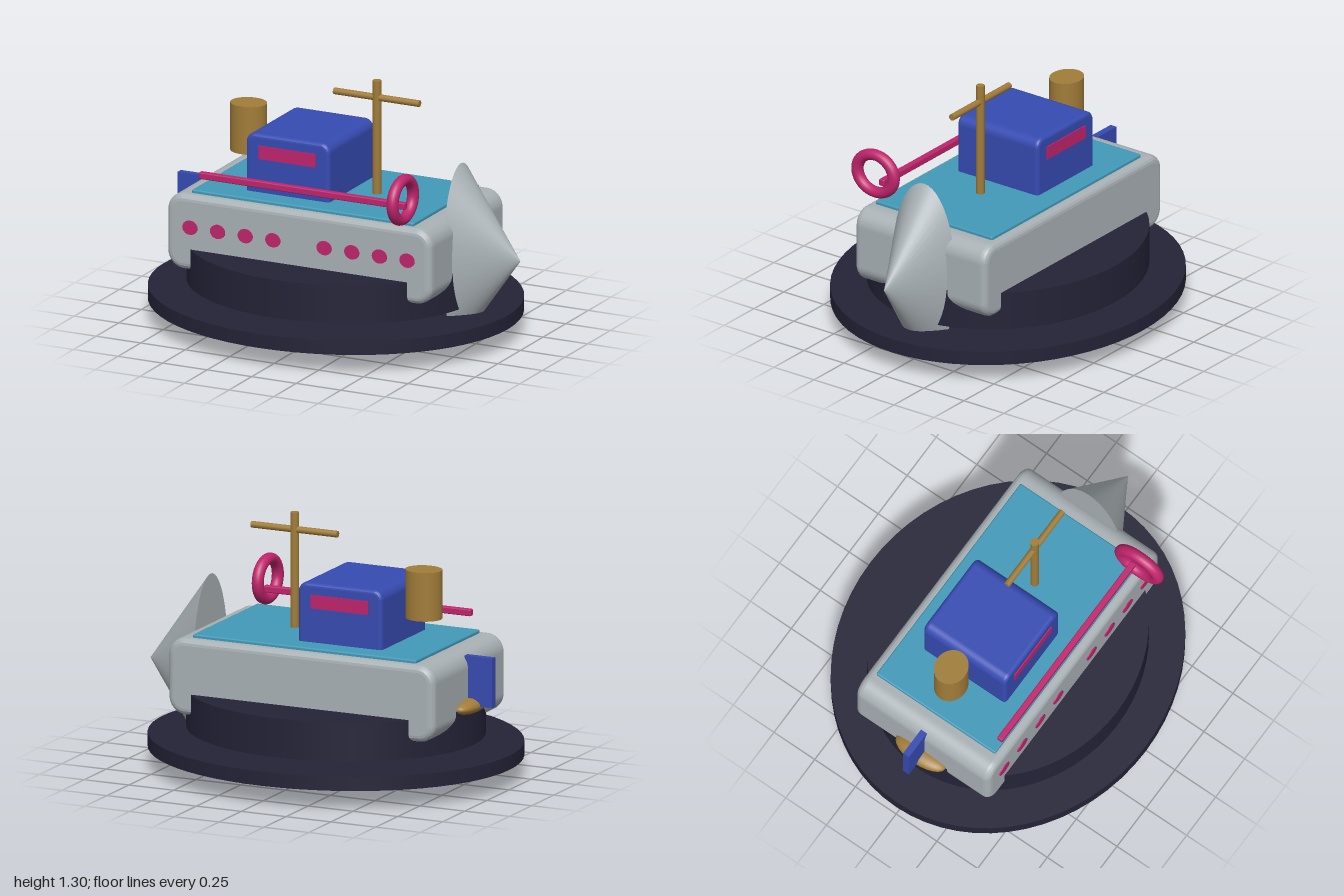
import * as THREE from 'three';
import { RoundedBoxGeometry } from 'three/addons/geometries/RoundedBoxGeometry.js';

function material(name, color) {
  const m = new THREE.MeshStandardMaterial({ color });
  m.name = name;
  return m;
}

// Rounded rectangle in x/y, extruded along z with a soft bevel; w, h, d are outer sizes
function softBlock(w, h, d, radius, bevel) {
  const x = w / 2 - bevel, y = h / 2 - bevel, r = radius - bevel;
  const s = new THREE.Shape();
  s.moveTo(-x + r, -y);
  s.lineTo(x - r, -y);
  s.absarc(x - r, -y + r, r, -Math.PI / 2, 0);
  s.absarc(x - r, y - r, r, 0, Math.PI / 2);
  s.absarc(-x + r, y - r, r, Math.PI / 2, Math.PI);
  s.absarc(-x + r, -y + r, r, Math.PI, Math.PI * 1.5);
  const depth = d - 2 * bevel;
  const g = new THREE.ExtrudeGeometry(s, {
    depth, bevelEnabled: true, bevelSize: bevel, bevelThickness: bevel, bevelSegments: 4, curveSegments: 6,
  });
  return g.translate(0, 0, -depth / 2);
}

export function createModel() {
  const group = new THREE.Group();
  group.name = 'boat';
  const grey = material('hull grey', 0xa9b1b5);
  const navy = material('dark navy', 0x242338);
  const teal = material('deck teal', 0x419ab9);
  const blue = material('cabin blue', 0x364bb2);
  const pink = material('trim pink', 0xc0246c);
  const brass = material('brass', 0xa17c38);

  const add = (name, geometry, mat, x, y, z = 0) => {
    const mesh = new THREE.Mesh(geometry, mat);
    mesh.name = name;
    mesh.position.set(x, y, z);
    group.add(mesh);
    return mesh;
  };

  // Oval base and the raised oval skirt
  const oval = (rx, h, rz) => new THREE.CylinderGeometry(1, 1, h, 64).scale(rx, 1, rz);
  add('base', oval(0.965, 0.073, 0.845), navy, -0.035, 0.138);
  add('skirt', oval(0.767, 0.2, 0.672), navy, -0.035, 0.31);

  // Hull, deck and bow cone
  add('hull', softBlock(1.485, 0.395, 0.82, 0.09, 0.035), grey, -0.038, 0.495);
  add('deck', new RoundedBoxGeometry(1.245, 0.06, 0.73, 2, 0.008), teal, -0.037, 0.68);
  const cone = new THREE.ConeGeometry(1, 0.335, 48).rotateZ(-Math.PI / 2).scale(1, 0.467, 0.197);
  add('bow', cone, grey, 0.8325, 0.467);

  // Cabin with a window strip on each side
  add('cabin', softBlock(0.47, 0.37, 0.506, 0.05, 0.02), blue, -0.18, 0.828);
  for (const side of [1, -1]) {
    add('cabinWindow', new THREE.BoxGeometry(0.32, 0.07, 0.008), pink, -0.18, 0.92, side * 0.254);
  }

  // Portholes along the front side of the hull
  for (const x of [-0.645, -0.49, -0.335, -0.18, 0.108, 0.263, 0.418, 0.573]) {
    const disc = new THREE.CylinderGeometry(1, 1, 0.008, 20).rotateX(Math.PI / 2).scale(0.042, 0.037, 1);
    add('porthole', disc, pink, x, 0.525, 0.411);
  }

  // Funnel, mast and yard
  add('funnel', new THREE.CylinderGeometry(0.095, 0.095, 0.25, 32).scale(1, 1, 0.88), brass, -0.525, 0.96);
  add('mast', new THREE.CylinderGeometry(0.022, 0.022, 0.63, 16), brass, 0.195, 0.987);
  add('yard', new THREE.CylinderGeometry(0.017, 0.017, 0.48, 16).rotateZ(Math.PI / 2), brass, 0.195, 1.213);

  // Rail ending in a life ring
  add('rail', new RoundedBoxGeometry(1.155, 0.035, 0.032, 2, 0.006), pink, -0.037, 0.792, 0.361);
  const ring = new THREE.TorusGeometry(0.107, 0.03, 16, 40).rotateY(Math.PI / 2).scale(1, 0.95, 1.06);
  add('lifeRing', ring, pink, 0.541, 0.835, 0.396);

  // Rudder and propeller at the stern
  add('rudder', new THREE.BoxGeometry(0.155, 0.255, 0.036), blue, -0.8375, 0.542);
  add('propeller', new THREE.SphereGeometry(1, 24, 16).scale(0.065, 0.04, 0.15), brass, -0.785, 0.415);

  return group;
}
